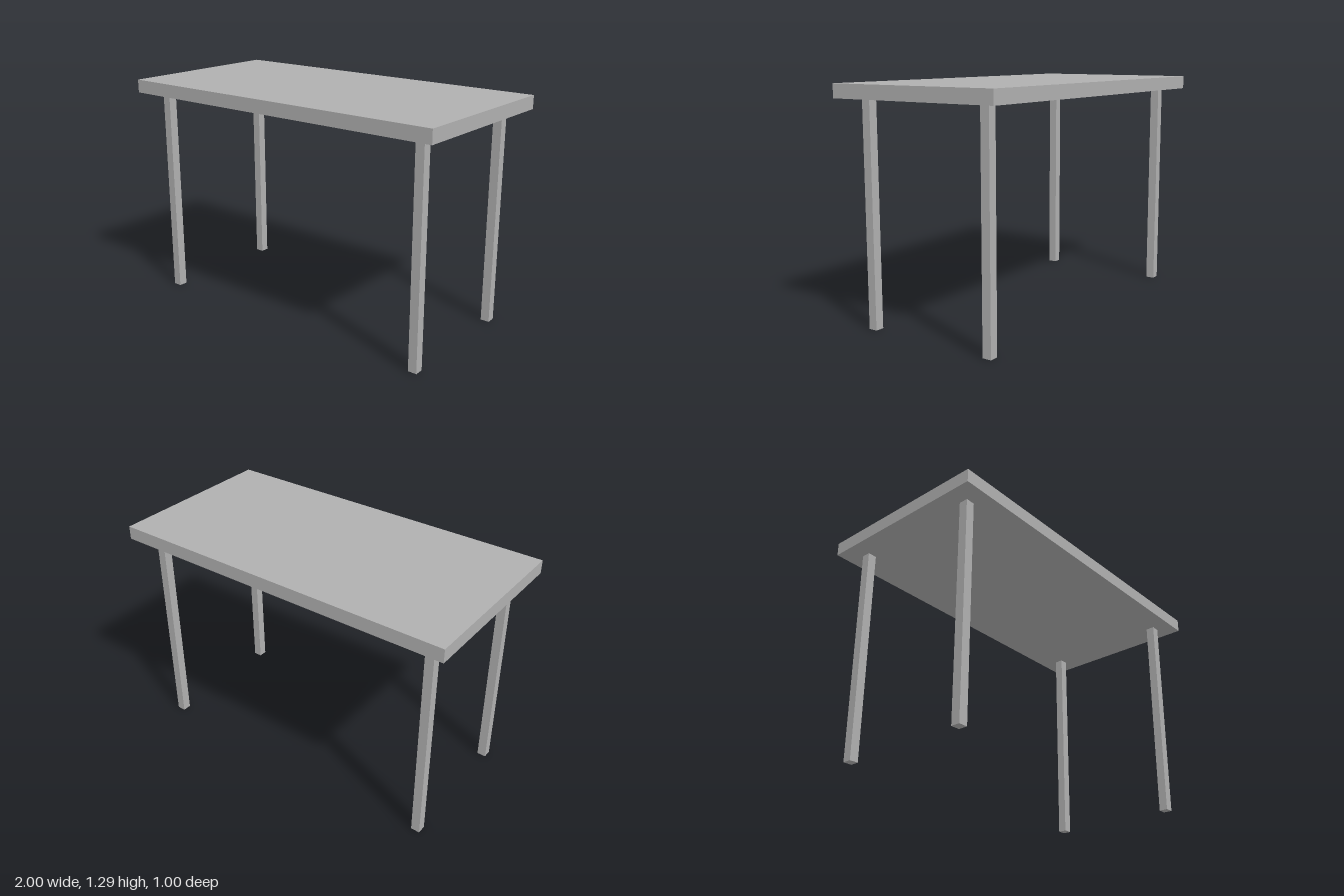
import * as THREE from 'three';

export function createModel() {
  const table = new THREE.Group();
  table.name = 'table';

  const grey = new THREE.MeshStandardMaterial({ color: 0xb0b0b0 });
  grey.name = 'grey';

  const legHeight = 1.215;
  const legWidth = 0.05;
  const topThickness = 0.075;

  // Flat rectangular top
  const top = new THREE.Mesh(new THREE.BoxGeometry(2, topThickness, 1), grey);
  top.name = 'tableTop';
  top.position.y = legHeight + topThickness / 2;
  table.add(top);

  // Four square legs, set in from the corners
  const legGeometry = new THREE.BoxGeometry(legWidth, legHeight, legWidth);
  for (const [zName, z] of [['front', 0.375], ['back', -0.375]]) {
    for (const [xName, x] of [['Left', 0.875], ['Right', -0.875]]) {
      const leg = new THREE.Mesh(legGeometry, grey);
      leg.name = `${zName}${xName}Leg`;
      leg.position.set(x, legHeight / 2, z);
      table.add(leg);
    }
  }

  return table;
}
